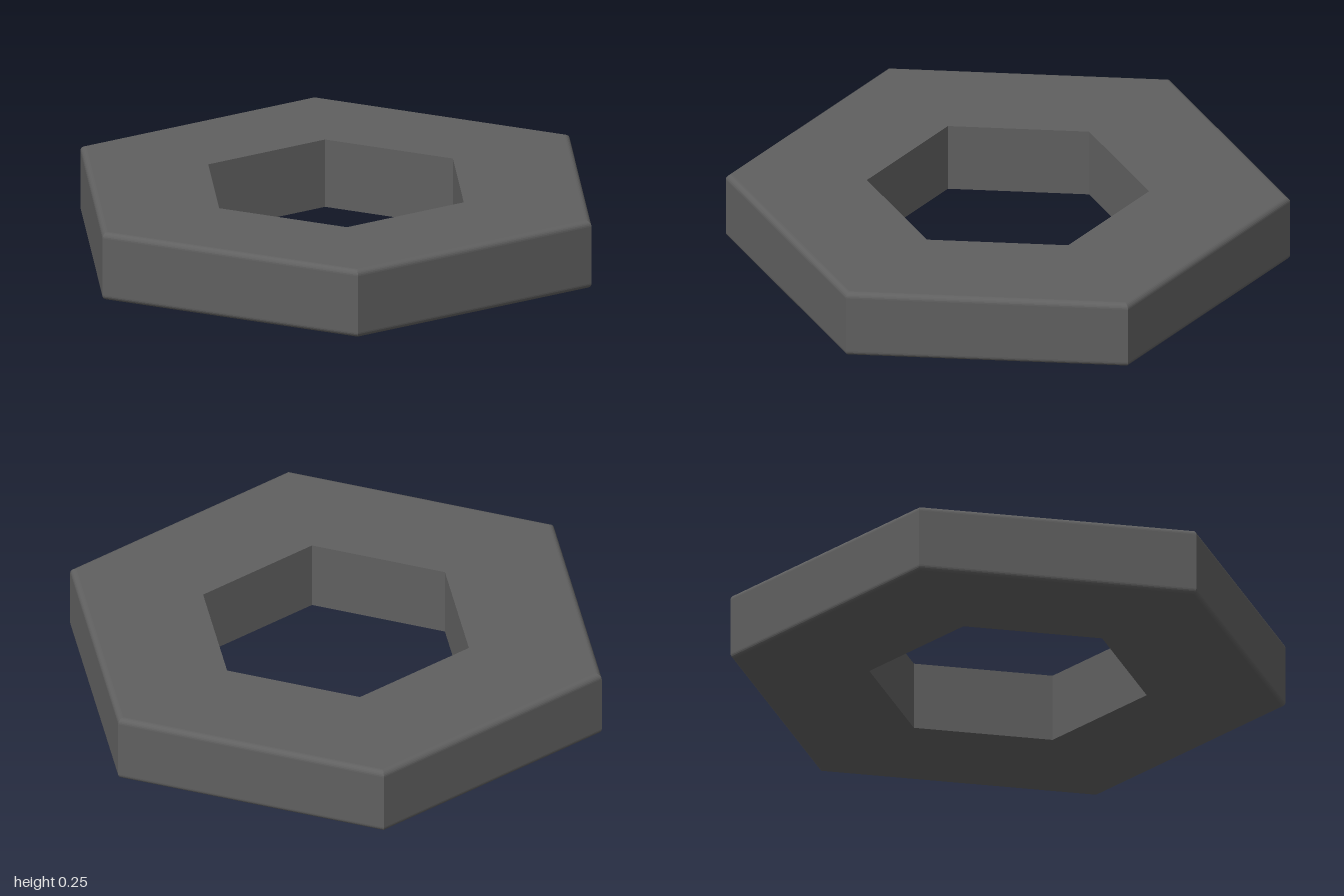
import * as THREE from 'three';

const HEIGHT = 0.25;
const FILLET = 0.02;
const COS30 = Math.cos(Math.PI / 6);
const OUTER = COS30;        // distance from centre to outer flats
const INNER = 0.5 * COS30;  // distance from centre to hole flats

export function createModel() {
  const group = new THREE.Group();
  group.name = 'hexRing';

  // Cross-section measured at the flats, scaled out to the corners
  const profile = [];
  const add = (flat, y) => profile.push(new THREE.Vector2(flat / COS30, y));
  const addFillet = (cy, start) => {
    const steps = 6;
    for (let i = 0; i <= steps; i++) {
      const a = start + (i / steps) * Math.PI / 2;
      add(OUTER - FILLET + FILLET * Math.cos(a), cy + FILLET * Math.sin(a));
    }
  };
  add(INNER, 0);
  addFillet(FILLET, -Math.PI / 2);
  addFillet(HEIGHT - FILLET, 0);
  add(INNER, HEIGHT);
  add(INNER, 0);

  // Six-sided ring with corners on the x axis
  const ring = new THREE.Mesh(
    new THREE.LatheGeometry(profile, 6, Math.PI / 2),
    new THREE.MeshStandardMaterial({ color: 0x606060, flatShading: true })
  );
  ring.name = 'hexagonalNut';
  group.add(ring);
  return group;
}
